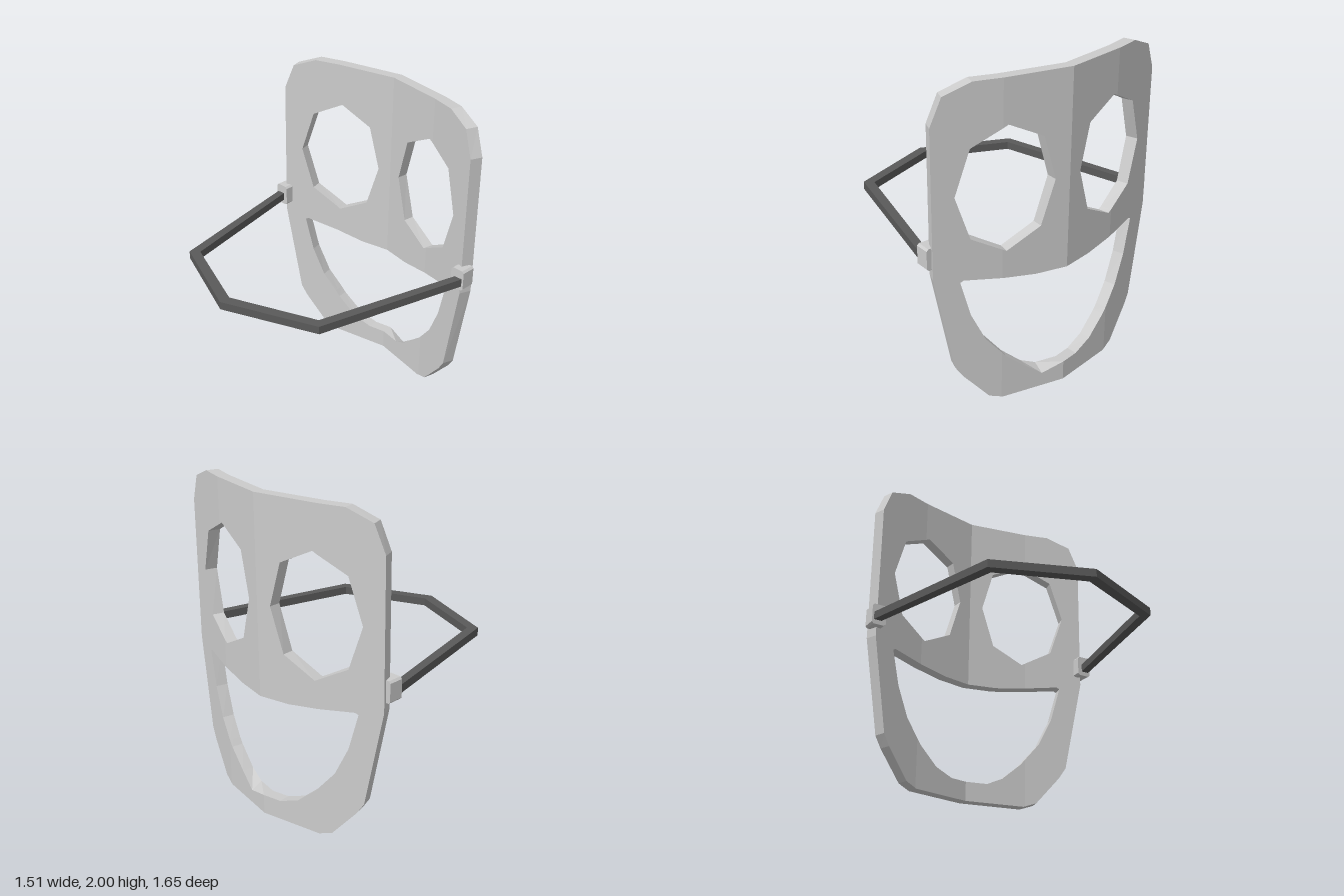
import * as THREE from 'three';

const V = (p) => new THREE.Vector2(p[0], p[1]);

// Mirror a half outline (listed on the +x side) into a closed loop
const mirrored = (half) => [
  ...half.map(V),
  ...half.slice().reverse().filter((p) => p[0] !== 0).map(([x, y]) => V([-x, y])),
];

// Cut every triangle into vertical strips so the plate can fold along them
function sliceIntoStrips(geometry, cuts) {
  const pos = geometry.toNonIndexed().attributes.position;
  const clip = (poly, limit, sign) => {
    const out = [];
    poly.forEach((a, i) => {
      const b = poly[(i + 1) % poly.length];
      const da = (a.x - limit) * sign, db = (b.x - limit) * sign;
      if (da >= 0) out.push(a);
      if (da * db < 0) out.push(a.clone().lerp(b, da / (da - db)));
    });
    return out;
  };
  const points = [];
  for (let i = 0; i < pos.count; i += 3) {
    const tri = [0, 1, 2].map((k) => new THREE.Vector3().fromBufferAttribute(pos, i + k));
    const mid = (tri[0].x + tri[1].x + tri[2].x) / 3;
    for (let s = 0; s < cuts.length - 1; s++) {
      // a triangle lying in a cut plane belongs to one strip only
      const flat = tri.every((p) => Math.abs(p.x - mid) < 1e-6);
      if (flat && !(mid >= cuts[s] && mid < cuts[s + 1])) continue;
      const poly = clip(clip(tri, cuts[s], 1), cuts[s + 1], -1);
      for (let k = 1; k < poly.length - 1; k++) points.push(poly[0], poly[k], poly[k + 1]);
    }
  }
  return new THREE.BufferGeometry().setFromPoints(points);
}

// Face plate: flat cut-out folded around the vertical axis, facing +x
function plateGeometry() {
  const outline = mirrored([
    [0.575, 2], [0.735, 1.937], [0.8, 1.775], [0.8, 0.88],
    [0.685, 0.28], [0.64, 0.21], [0.485, 0.03], [0.4, 0],
  ]);
  const shape = new THREE.Shape(outline.reverse());
  const eye = [
    [0.38, 1.735], [0.59, 1.63], [0.675, 1.36], [0.59, 1.095],
    [0.385, 0.982], [0.175, 1.09], [0.09, 1.36], [0.165, 1.63],
  ];
  const mouth = mirrored([
    [0, 0.785], [0.2, 0.787], [0.38, 0.81], [0.63, 0.845], [0.65, 0.835],
    [0.59, 0.61], [0.505, 0.43], [0.38, 0.28], [0.25, 0.17], [0.12, 0.124], [0, 0.124],
  ]);
  // small nick in the outer edge of the lower lip
  const nick = mouth.find((p) => p.x === -0.12).set(-0.145, 0.087);
  shape.holes.push(
    new THREE.Path(eye.map(V)),
    new THREE.Path(eye.map(([x, y]) => V([-x, y]))),
    new THREE.Path(mouth),
  );
  const flat = new THREE.ExtrudeGeometry(shape, { depth: 1, bevelEnabled: false });
  const fp = flat.attributes.position;
  for (let i = 0; i < fp.count; i++) {
    const atNick = Math.hypot(fp.getX(i) - nick.x, fp.getY(i) - nick.y) < 1e-4;
    if (atNick && fp.getZ(i) < 0.5) fp.setY(i, 0.124);
  }

  const geometry = sliceIntoStrips(flat, [-1, -0.41, 0, 0.41, 1]);
  const pos = geometry.attributes.position;
  for (let i = 0; i < pos.count; i++) {
    const s = pos.getX(i), inner = 1 - pos.getZ(i), a = Math.abs(s);
    const x = 0.752 - 0.195 * Math.min(a, 0.41) - 0.3 * Math.max(a - 0.41, 0);
    pos.setXYZ(i, x - 0.072 * inner, pos.getY(i), -s * (1 - 0.034 * inner));
  }
  geometry.computeVertexNormals();
  return geometry;
}

// Angular band running round the back of the head
function strapGeometry() {
  const outer = [[0.46, 0.815], [-0.52, 0.58], [-0.755, 0]];
  const inner = [[-0.685, 0], [-0.475, 0.53], [0.46, 0.763]];
  const flip = (list) => list.filter((p) => p[1]).reverse().map(([x, z]) => [x, -z]);
  const loop = [...outer, ...flip(outer), ...flip(inner), ...inner];
  const geometry = new THREE.ExtrudeGeometry(new THREE.Shape(loop.map(V)), {
    depth: 0.05, bevelEnabled: false,
  });
  return geometry.rotateX(Math.PI / 2).translate(0, 1.015, 0);
}

// Small clip with chamfered long edges
function clipGeometry() {
  const w = 0.047, h = 0.067, c = 0.012;
  const shape = new THREE.Shape(mirrored([[w - c, h], [w, h - c], [w, c - h], [w - c, -h]]));
  const geometry = new THREE.ExtrudeGeometry(shape, { depth: 0.092, bevelEnabled: false });
  return geometry.translate(0, 0, -0.046).rotateY(Math.PI / 2);
}

export function createModel() {
  const model = new THREE.Group();
  model.name = 'mask';
  const grey = new THREE.MeshStandardMaterial({ color: 0xcccccc, flatShading: true });
  const dark = new THREE.MeshStandardMaterial({ color: 0x5a5a5a, flatShading: true });
  const add = (name, geometry, material) => {
    const mesh = new THREE.Mesh(geometry, material);
    mesh.name = name;
    model.add(mesh);
    return mesh;
  };

  add('facePlate', plateGeometry(), grey);
  add('strap', strapGeometry(), dark);
  for (const [name, side] of [['leftClip', 1], ['rightClip', -1]]) {
    add(name, clipGeometry(), grey).position.set(0.488, 1.003, side * 0.776);
  }
  return model;
}
